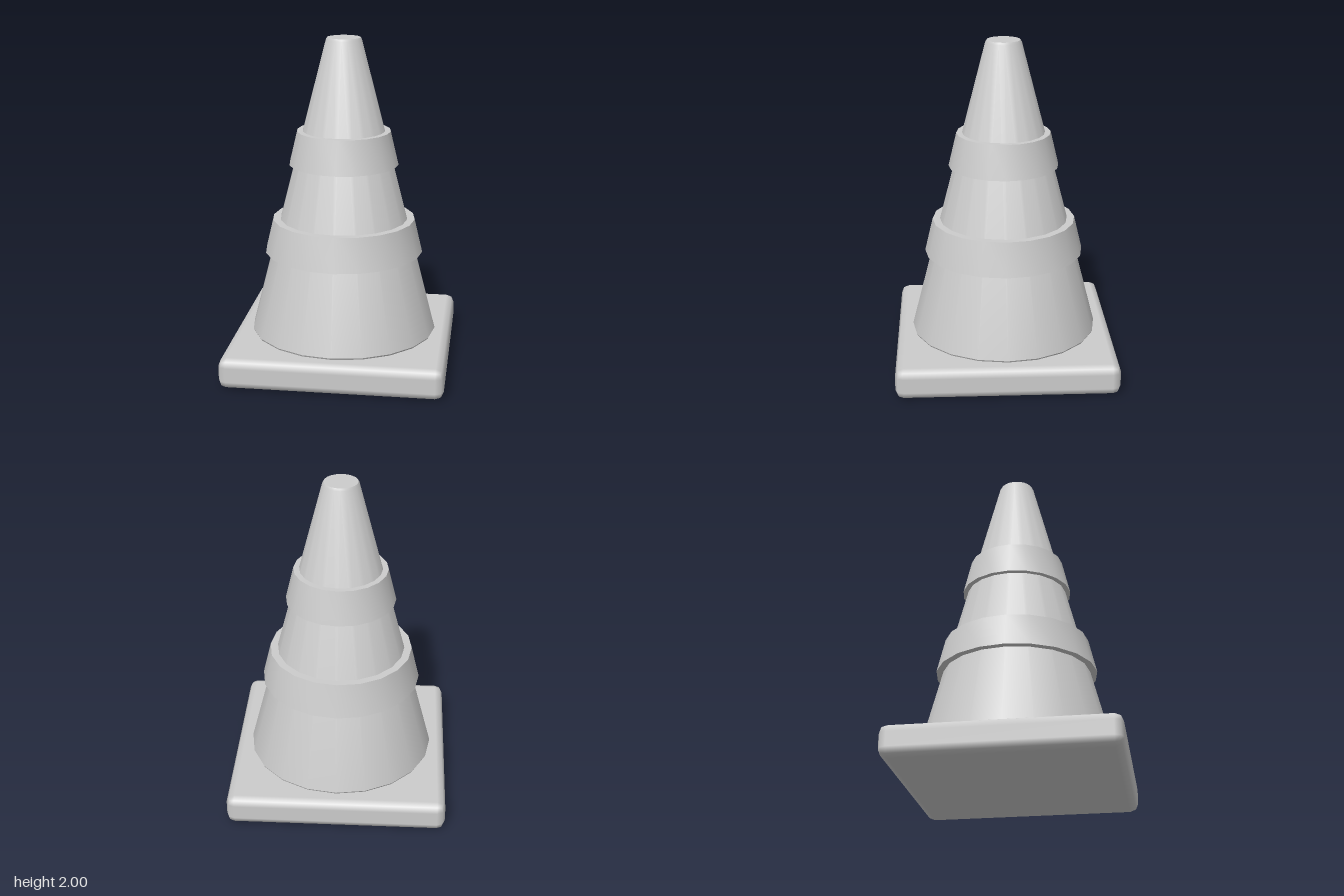
import * as THREE from 'three';
import { RoundedBoxGeometry } from 'three/addons/geometries/RoundedBoxGeometry.js';
import { toCreasedNormals } from 'three/addons/utils/BufferGeometryUtils.js';

const SIDES = 20;

// Revolved part from [radius, height] pairs listed bottom to top
function lathe(name, profile, material) {
  const points = profile.map(([r, y]) => new THREE.Vector2(r, y));
  const geometry = toCreasedNormals(new THREE.LatheGeometry(points, SIDES), 0.6);
  const mesh = new THREE.Mesh(geometry, material);
  mesh.name = name;
  return mesh;
}

export function createModel() {
  const group = new THREE.Group();
  group.name = 'trafficCone';
  const grey = new THREE.MeshStandardMaterial({ color: 0xcccccc });
  grey.name = 'light grey';

  // Square foot with bevelled edges
  const base = new THREE.Mesh(new RoundedBoxGeometry(1.33, 0.187, 1.33, 1, 0.05), grey);
  base.name = 'base';
  base.position.y = 0.0935;
  group.add(base);

  // Tapered body with slightly bevelled ends
  group.add(lathe('coneBody', [
    [0, 0.18], [0.562, 0.18], [0.571, 0.197], [0.108, 1.987], [0.1, 2], [0, 2],
  ], grey));

  // Raised collars: outer wall plus ledges running into the body
  const collars = [
    ['lowerBand', 0.69, 0.485, 0.895, 0.436],
    ['upperBand', 1.235, 0.333, 1.44, 0.284],
  ];
  for (const [name, y0, r0, y1, r1] of collars) {
    group.add(lathe(name, [[r0 - 0.08, y0], [r0, y0], [r1, y1], [r1 - 0.08, y1]], grey));
  }
  return group;
}
